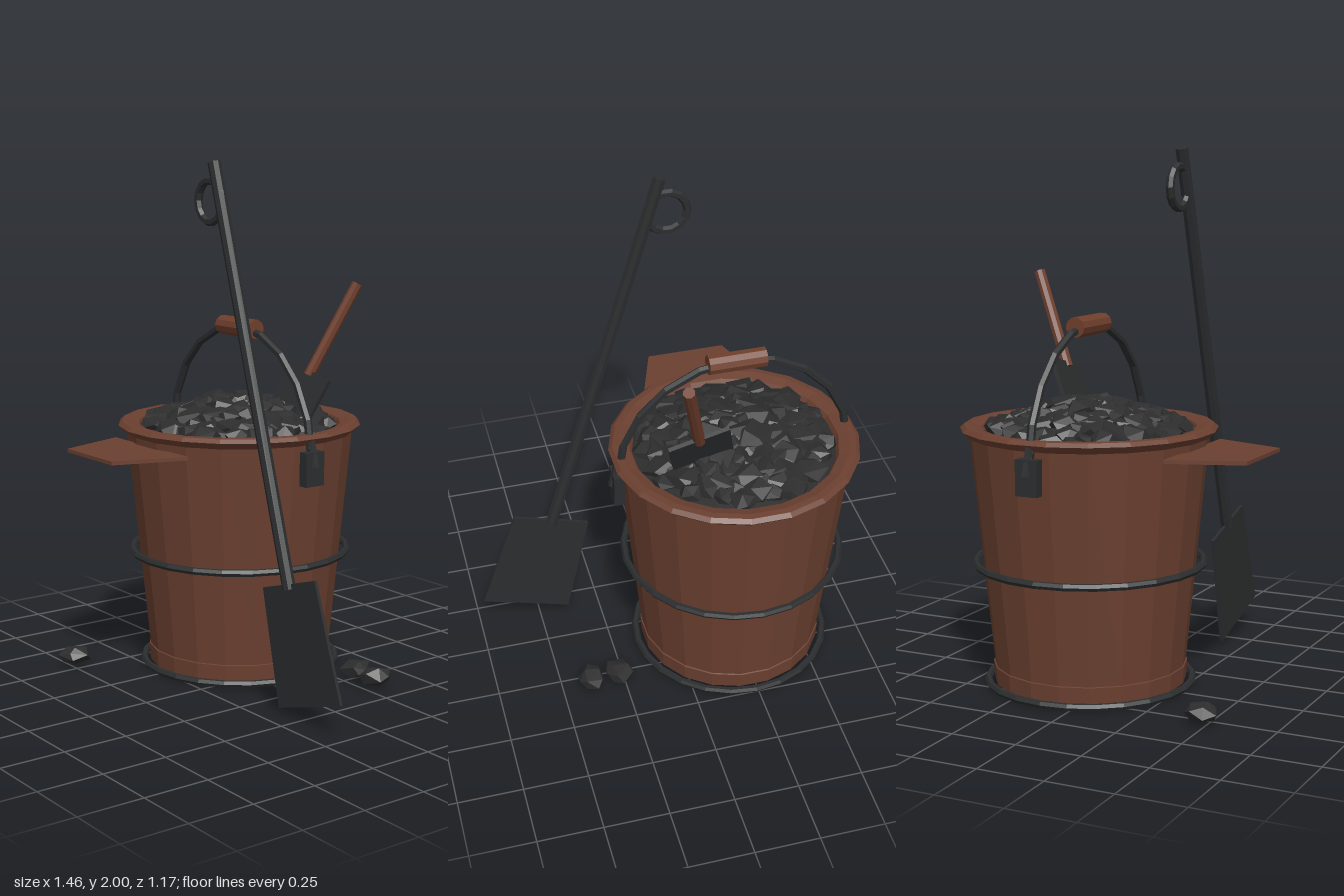
import * as THREE from 'three';
import { ConvexGeometry } from 'three/addons/geometries/ConvexGeometry.js';

const flat = (name, color) => {
  const m = new THREE.MeshStandardMaterial({ color, flatShading: true });
  m.name = name;
  return m;
};

export function createModel() {
  const copper = flat('copper', 0x6b4030);
  const wood = flat('wood', 0x703f2c);
  const iron = flat('iron', 0x2b2d2e);
  const coal = flat('coal', 0x2d2d2e);

  const model = new THREE.Group();
  model.name = 'coalBucket';
  const bucket = new THREE.Group();
  bucket.name = 'bucket';
  bucket.position.set(-0.24, 0, -0.11);
  model.add(bucket);

  const add = (parent, name, geo, mat, x = 0, y = 0, z = 0) => {
    const mesh = new THREE.Mesh(geo, mat);
    mesh.name = name;
    mesh.position.set(x, y, z);
    parent.add(mesh);
    return mesh;
  };
  // Straight round bar between two points
  const bar = (parent, name, mat, a, b, rTop, rBottom = rTop, sides = 8) => {
    const p = new THREE.Vector3(...a), q = new THREE.Vector3(...b);
    const d = q.clone().sub(p);
    const mesh = add(parent, name, new THREE.CylinderGeometry(rTop, rBottom, d.length(), sides), mat);
    mesh.position.copy(p).add(q).multiplyScalar(0.5);
    mesh.quaternion.setFromUnitVectors(new THREE.Vector3(0, 1, 0), d.normalize());
    return mesh;
  };
  // Flat plate from an outline
  const plate = (pts, depth) => new THREE.ExtrudeGeometry(
    new THREE.Shape(pts.map(p => new THREE.Vector2(...p))), { depth, bevelEnabled: false });
  const lathe = pts => new THREE.LatheGeometry(pts.map(p => new THREE.Vector2(...p)), 20)
    .rotateY(Math.PI / 20);

  // Seeded random numbers
  let seed = 7;
  const rnd = () => (seed = (seed * 16807) % 2147483647) / 2147483647;
  // Chunky faceted coal lump
  const lump = r => {
    const pts = [];
    for (let i = 0; i < 14; i++) {
      const y = 1 - 2 * (i + 0.5) / 14, s = Math.sqrt(1 - y * y);
      const a = i * 2.4 + rnd() * 0.6, k = r * (0.82 + rnd() * 0.3);
      pts.push(new THREE.Vector3(s * Math.cos(a) * k, y * k, s * Math.sin(a) * k));
    }
    return new ConvexGeometry(pts);
  };

  // Bucket wall, foot band and rim
  add(bucket, 'body', lathe([[0, 0.015], [0.362, 0.015], [0.366, 0.08], [0.361, 0.082],
    [0.448, 0.96], [0.415, 0.96], [0.4, 0.8]]), copper);
  add(bucket, 'rim', lathe([[0.435, 0.94], [0.455, 0.945], [0.48, 0.97], [0.465, 0.984],
    [0.44, 0.986], [0.4, 0.975], [0.39, 0.955], [0.39, 0.85]]), copper);

  // Iron hoops
  for (const [name, r, y] of [['middleHoop', 0.428, 0.465], ['bottomHoop', 0.386, 0.015]]) {
    add(bucket, name, new THREE.TorusGeometry(r, 0.014, 6, 24).rotateX(Math.PI / 2), iron, 0, y, 0);
  }

  // Pouring lip
  add(bucket, 'lip', plate([[-0.25, -0.42], [0.25, -0.42], [0.157, -0.695], [-0.157, -0.695]], 0.014)
    .rotateX(-Math.PI / 2), copper, 0, 0.903, 0);

  // Bail handle with lugs and grip
  add(bucket, 'bail', new THREE.TorusGeometry(0.455, 0.016, 6, 10, Math.PI), iron, 0, 0.895, 0);
  for (const s of [-1, 1]) {
    add(bucket, 'lug', new THREE.BoxGeometry(0.04, 0.13, 0.086), iron, s * 0.46, 0.855, 0);
    bar(bucket, 'bailEnd', iron, [s * 0.478, 0.86, 0], [s * 0.453, 0.97, 0], 0.014, 0.018, 6);
  }
  bar(bucket, 'bailGrip', wood, [-0.11, 1.348, 0], [0.11, 1.348, 0], 0.038, 0.038, 10);

  // Heaped coal over a low mound
  add(bucket, 'coalMound', lathe([[0.392, 0.955], [0.3, 0.975], [0.15, 1.015], [0, 1.035]]), coal);
  const count = 120;
  for (let i = 0; i < count; i++) {
    const t = Math.sqrt((i + 0.5) / count), a = i * 2.39996;
    const size = 0.05 + rnd() * 0.04;
    const r = t * (0.395 - size * 0.8);
    const m = add(bucket, 'coalLump', lump(size), coal,
      r * Math.cos(a), 0.952 + 0.1 * (1 - t) + rnd() * 0.015, r * Math.sin(a));
    m.rotation.y = rnd() * 6.28;
    m.scale.y = 0.65;
  }

  // Loose lumps on the floor
  for (const [x, z] of [[0.27, -0.3], [0.385, -0.3], [-0.54, 0.485]]) {
    add(model, 'looseCoal', lump(0.064), coal, x, 0.048, z).scale.y = 0.62;
  }

  // Long shovel leaning on the rim
  const shovel = new THREE.Group();
  shovel.name = 'shovel';
  shovel.position.z = 0.163;
  model.add(shovel);
  bar(shovel, 'shovelShaft', iron, [0.432, 0.48, 0], [-0.022, 1.993, 0], 0.025);
  add(shovel, 'shovelRing', new THREE.TorusGeometry(0.077, 0.016, 6, 14), iron, -0.047, 1.85, 0);
  add(shovel, 'shovelBlade', plate([[0.283, 0.455], [0.38, 0.02], [0.73, 0.125], [0.582, 0.545]], 0.012),
    iron, 0, 0, -0.006);

  // Small scoop stuck in the coal
  const scoop = new THREE.Group();
  scoop.name = 'scoop';
  const up = new THREE.Vector3(0.09, 0.36, -0.17).normalize();
  const side = new THREE.Vector3(0.97, -0.2425, 0).normalize();
  const out = side.clone().cross(up).normalize();
  scoop.quaternion.setFromRotationMatrix(new THREE.Matrix4().makeBasis(side, up, out));
  scoop.position.set(-0.043, 1.17, -0.31);
  model.add(scoop);
  add(scoop, 'scoopBlade', new THREE.BoxGeometry(0.235, 0.2, 0.016), iron, 0, -0.09, 0);
  bar(scoop, 'scoopHandle', wood, [0, -0.01, 0], [0, 0.395, 0], 0.022);

  return model;
}
